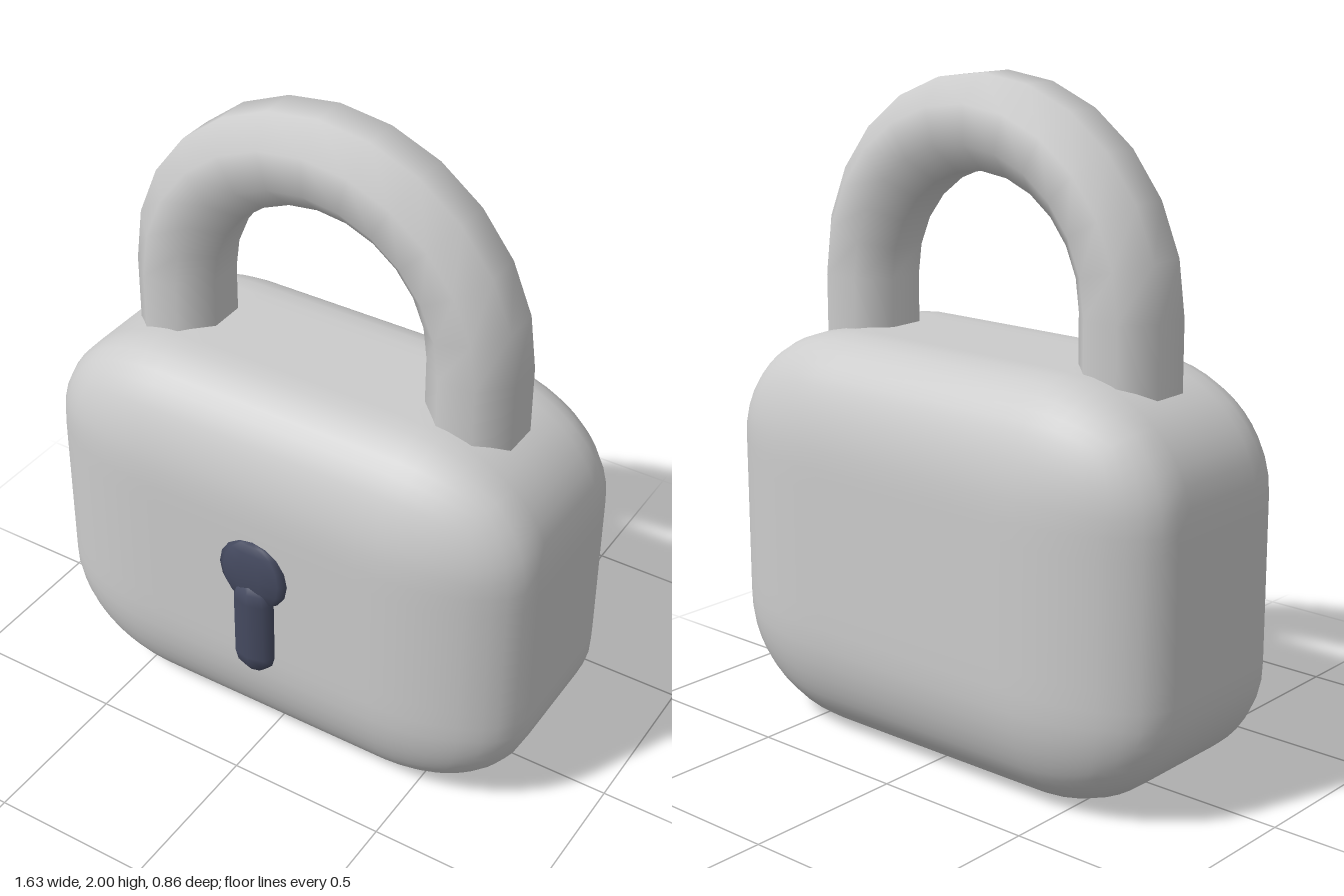
import * as THREE from 'three';
import { mergeVertices } from 'three/addons/utils/BufferGeometryUtils.js';
import { ParametricGeometry } from 'three/addons/geometries/ParametricGeometry.js';

const grey = new THREE.MeshStandardMaterial({ color: 0xcccccc });
const dark = new THREE.MeshStandardMaterial({ color: 0x454a60 });

function addPart(group, name, geometry, material, x, y, z) {
  const mesh = new THREE.Mesh(geometry, material);
  mesh.name = name;
  mesh.position.set(x, y, z);
  group.add(mesh);
  return mesh;
}

// Box whose edges and corners follow ellipses outside a flat inner core
function softBox(half, core) {
  let geo = new THREE.BoxGeometry(half.x * 2, half.y * 2, half.z * 2, 24, 20, 16);
  geo.deleteAttribute('normal');
  geo.deleteAttribute('uv');
  geo = mergeVertices(geo);
  const pos = geo.attributes.position;
  const radius = half.clone().sub(core);
  const low = core.clone().negate();
  const p = new THREE.Vector3();
  const inner = new THREE.Vector3();
  for (let i = 0; i < pos.count; i++) {
    p.fromBufferAttribute(pos, i);
    inner.copy(p).clamp(low, core);
    p.sub(inner).divide(radius).normalize().multiply(radius).add(inner);
    pos.setXYZ(i, p.x, p.y, p.z);
  }
  geo.computeVertexNormals();
  return geo;
}

// Eight-sided tube: straight leg, half circle in twelve steps, straight leg
function shackleGeometry(bend, tube, legLength) {
  const arcSteps = 12;
  const steps = arcSteps + 2;
  return new ParametricGeometry((u, v, target) => {
    const s = u * steps - 1;
    const a = THREE.MathUtils.clamp(s / arcSteps, 0, 1) * Math.PI;
    const drop = Math.max(0, -s, s - arcSteps) * legLength;
    const ring = (v + 1 / 16) * Math.PI * 2;
    const r = bend + tube * Math.cos(ring);
    target.set(r * Math.cos(a), r * Math.sin(a) - drop, tube * Math.sin(ring));
  }, steps, 8);
}

export function createModel() {
  const model = new THREE.Group();
  model.name = 'padlock';

  // Body
  const half = new THREE.Vector3(0.815, 0.613, 0.406);
  const core = new THREE.Vector3(0.39, 0.26, 0.18);
  addPart(model, 'body', softBox(half, core), grey, 0, 0.615, -0.022);

  // Shackle, its legs sunk into the body
  addPart(model, 'shackle', shackleGeometry(0.492, 0.149, 0.35), grey, 0, 1.375, -0.022);

  // Keyhole: shallow round boss with a raised slot below
  const disc = addPart(model, 'keyholeDisc', new THREE.SphereGeometry(0.117, 10, 8), dark, 0, 0.687, 0.384);
  disc.scale.z = 0.24;
  const slot = addPart(model, 'keyholeSlot', new THREE.CapsuleGeometry(0.07, 0.205, 3, 8), dark, 0, 0.493, 0.384);
  slot.scale.z = 0.62;

  return model;
}
